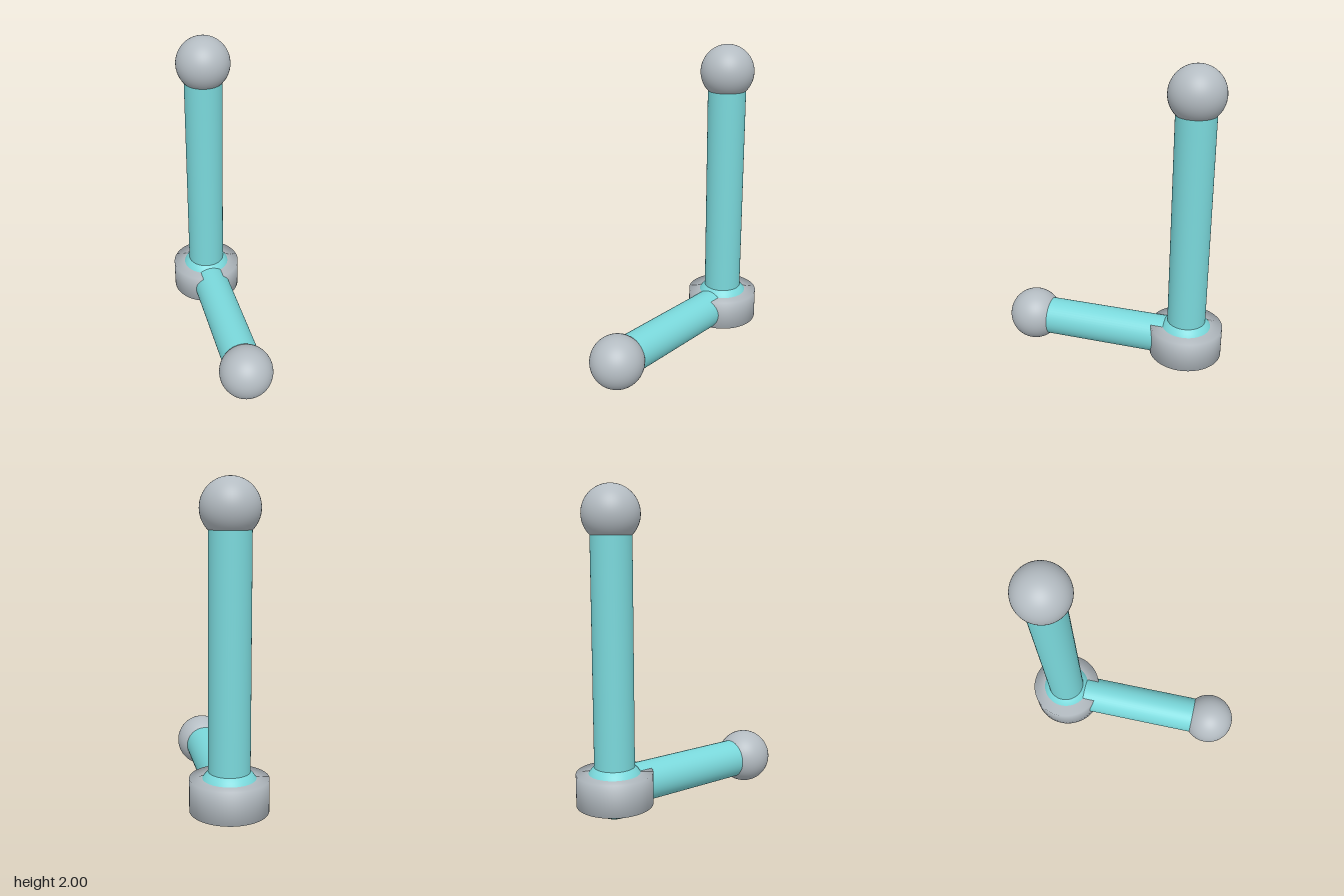
import * as THREE from 'three';

export function createModel() {
  const model = new THREE.Group();
  const teal = new THREE.MeshStandardMaterial({ color: 0x7ad8db });
  teal.name = 'turquoise';
  const grey = new THREE.MeshStandardMaterial({ color: 0xb4bcc2 });
  grey.name = 'grey';

  const axisY = 0.188; // height of the horizontal rod
  const axisZ = -0.498; // depth of the upright rod
  const rodRadius = 0.123;
  const ballRadius = 0.172;

  function add(name, geometry, material, y, z) {
    const mesh = new THREE.Mesh(geometry, material);
    mesh.name = name;
    mesh.position.set(0, y, z);
    model.add(mesh);
    return mesh;
  }

  const rod = (length) => new THREE.CylinderGeometry(rodRadius, rodRadius, length, 48);
  const ball = (radius) => new THREE.SphereGeometry(radius, 48, 32);

  // Two rods meeting at a right angle
  const topY = 2 - ballRadius;
  const frontZ = 0.732 - ballRadius;
  add('uprightRod', rod(topY - axisY), teal, (topY + axisY) / 2, axisZ);
  add('forwardRod', rod(frontZ - axisZ), teal, axisY, (frontZ + axisZ) / 2).rotation.x = Math.PI / 2;

  // Balls at the corner and at both free ends
  add('cornerBall', ball(0.186), teal, axisY, axisZ);
  add('topBall', ball(ballRadius), grey, topY, axisZ);
  add('frontBall', ball(ballRadius), grey, axisY, frontZ);

  // Collar around the corner ball, softly shaded across its rims
  const h = 0.099;
  const profile = [[0.14, -h], [0.234, -h], [0.234, h], [0.14, h]].map(([r, y]) => new THREE.Vector2(r, y));
  add('collar', new THREE.LatheGeometry(profile, 64), grey, axisY, axisZ);

  return model;
}
